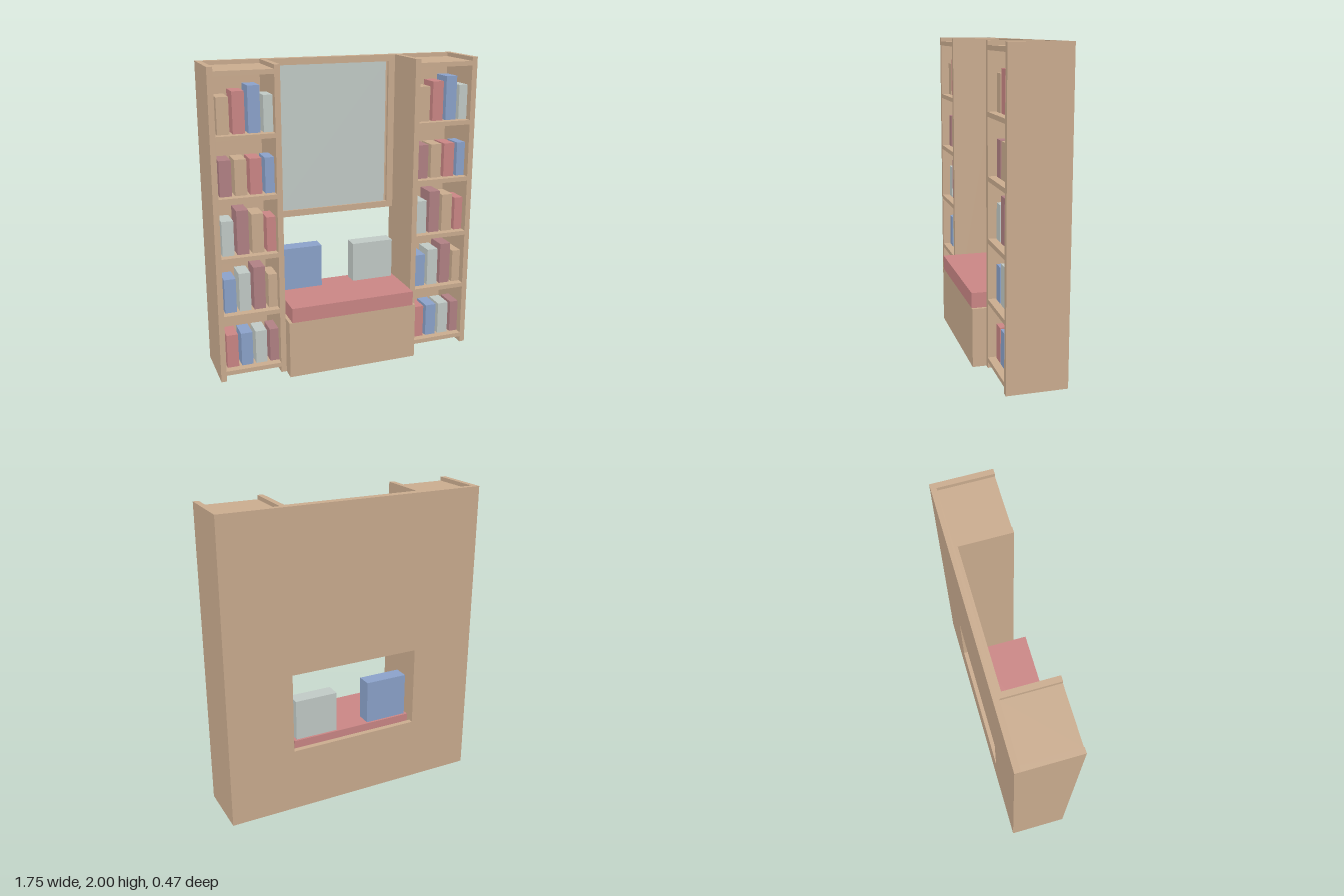
import * as THREE from 'three';

const paint = (name, color) => {
  const m = new THREE.MeshStandardMaterial({ color });
  m.name = name;
  return m;
};

export function createModel() {
  const wood = paint('wood', 0xc9ab8e);
  const red = paint('red', 0xc98584);
  const blue = paint('blue', 0x8aa1c9);
  const grey = paint('paleGrey', 0xc0c9c5);
  const plum = paint('plum', 0xb08083);

  const model = new THREE.Group();
  model.name = 'windowSeatWithBookcases';

  // Box given by its limits on each axis
  const box = (parent, name, mat, [x0, x1], [y0, y1], [z0, z1]) => {
    const mesh = new THREE.Mesh(new THREE.BoxGeometry(x1 - x0, y1 - y0, z1 - z0), mat);
    mesh.position.set((x0 + x1) / 2, (y0 + y1) / 2, (z0 + z1) / 2);
    mesh.name = name;
    parent.add(mesh);
  };

  const rect = (C, x0, x1, y0, y1) => {
    const s = new C();
    s.moveTo(x0, y0);
    s.lineTo(x1, y0);
    s.lineTo(x1, y1);
    s.lineTo(x0, y1);
    s.closePath();
    return s;
  };

  // Flat board with one rectangular hole
  const holedBoard = (name, outer, hole, z, depth) => {
    const shape = rect(THREE.Shape, ...outer);
    shape.holes.push(rect(THREE.Path, ...hole));
    const mesh = new THREE.Mesh(new THREE.ExtrudeGeometry(shape, { depth, bevelEnabled: false }), wood);
    mesh.position.z = z;
    mesh.name = name;
    model.add(mesh);
  };

  const BACK = -0.235, INNER = -0.2, FRONT = 0.145, SEAT = 0.233;

  // Back panel with the opening above the seat
  holedBoard('backPanel', [-0.875, 0.875, 0, 2], [-0.44, 0.44, 0.425, 0.957], BACK, INNER - BACK);

  // Framed board over the opening
  holedBoard('boardFrame', [-0.44, 0.44, 0.957, 2], [-0.395, 0.395, 1.0, 1.957], INNER, 0.02);
  box(model, 'boardPane', grey, [-0.38, 0.38], [1.0, 1.957], [INNER, INNER + 0.008]);

  // Book rows from the bottom up: [colour, height]
  const rows = [
    [[red, 0.225], [blue, 0.225], [grey, 0.225], [plum, 0.225]],
    [[blue, 0.225], [grey, 0.255], [plum, 0.285], [wood, 0.225]],
    [[grey, 0.225], [plum, 0.285], [wood, 0.255], [red, 0.225]],
    [[plum, 0.225], [wood, 0.225], [red, 0.225], [blue, 0.225]],
    [[wood, 0.225], [red, 0.255], [blue, 0.285], [grey, 0.225]],
  ];

  // Two bookcases, with the same order of books
  for (const [name, x0] of [['rightBookcase', -0.875], ['leftBookcase', 0.44]]) {
    const tower = new THREE.Group();
    tower.name = name;
    model.add(tower);
    const x1 = x0 + 0.435, t = 0.036;
    box(tower, 'sidePanel', wood, [x0, x0 + t], [0, 2], [INNER, FRONT]);
    box(tower, 'sidePanel', wood, [x1 - t, x1], [0, 2], [INNER, FRONT]);
    for (let i = 0; i < 6; i++) {
      const y = 0.04 + i * 0.381;
      box(tower, 'shelf', wood, [x0 + t, x1 - t], [y, y + 0.029], [INNER, FRONT]);
      (rows[i] || []).forEach(([mat, h], k) => {
        const bx = x0 + 0.055 + k * 0.095;
        box(tower, 'book', mat, [bx, bx + 0.075], [y + 0.029, y + 0.029 + h], [-0.045, 0.095]);
      });
    }
  }

  // Seat, cushion and two pillows
  box(model, 'bench', wood, [-0.44, 0.44], [0, 0.38], [INNER, SEAT]);
  box(model, 'seatCushion', red, [-0.42, 0.42], [0.38, 0.477], [INNER, SEAT]);
  box(model, 'rightPillow', blue, [-0.403, -0.115], [0.477, 0.765], [-0.185, -0.085]);
  box(model, 'leftPillow', grey, [0.112, 0.4], [0.477, 0.746], [-0.185, -0.085]);

  return model;
}
